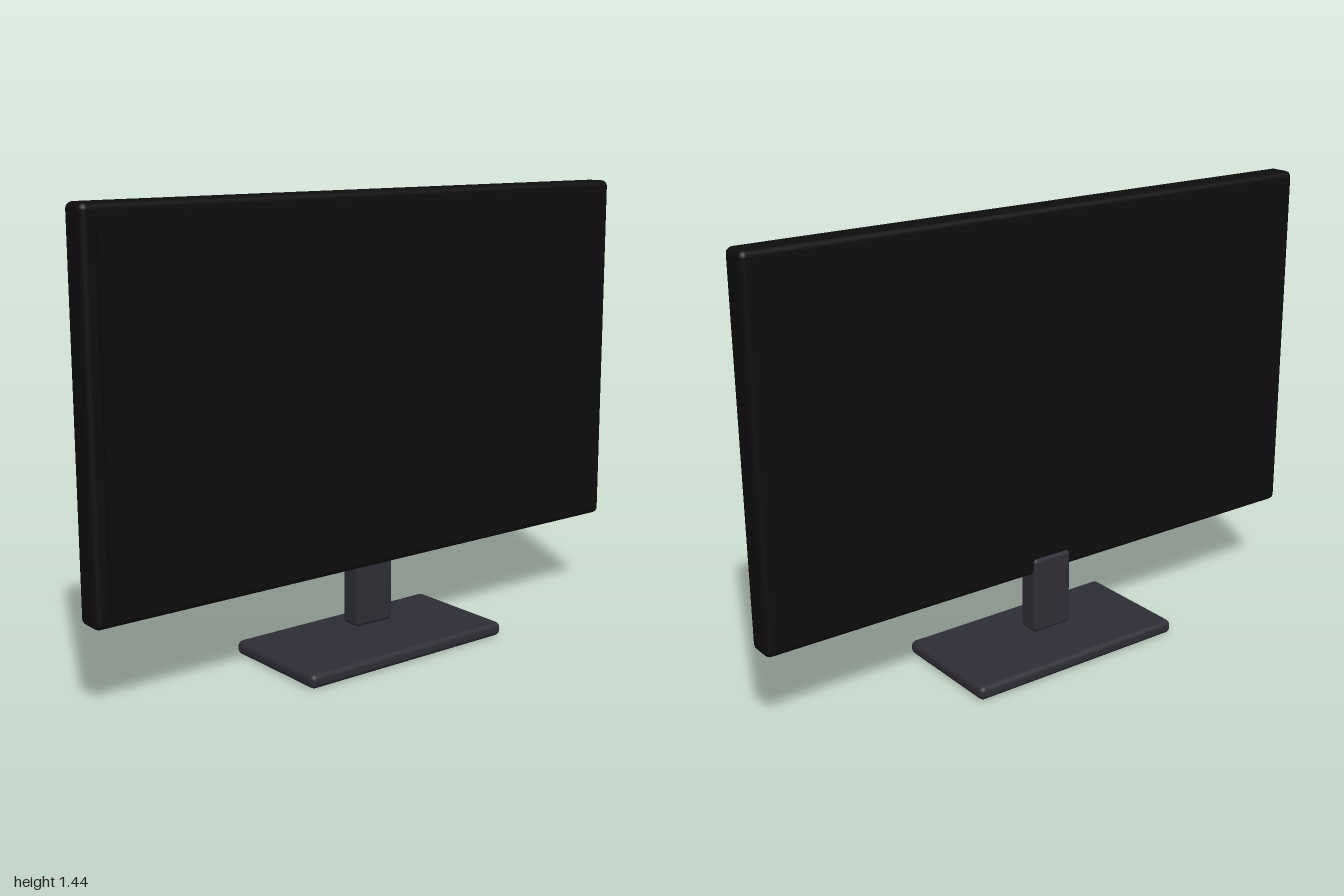
import * as THREE from 'three';
import { RoundedBoxGeometry } from 'three/addons/geometries/RoundedBoxGeometry.js';

function material(name, color) {
  const m = new THREE.MeshStandardMaterial({ color });
  m.name = name;
  return m;
}

export function createModel() {
  const group = new THREE.Group();
  group.name = 'monitor';

  const casing = material('casing black', 0x0d0d0d);
  const glass = material('screen black', 0x0c0c0c);
  const metal = material('stand dark grey', 0x2d2d35);

  // Adds a box between two corners, with softened edges when a radius is given
  function addBox(name, [x0, y0, z0], [x1, y1, z1], radius, mat) {
    const size = [x1 - x0, y1 - y0, z1 - z0];
    const geometry = radius
      ? new RoundedBoxGeometry(...size, 4, radius)
      : new THREE.BoxGeometry(...size);
    const mesh = new THREE.Mesh(geometry, mat);
    mesh.name = name;
    mesh.position.set((x0 + x1) / 2, (y0 + y1) / 2, (z0 + z1) / 2);
    group.add(mesh);
  }

  // Display: casing with a raised flat screen on the front
  addBox('housing', [-1, 0.275, -0.046], [1, 1.438, 0.046], 0.02, casing);
  addBox('screen', [-0.955, 0.322, 0.04], [0.955, 1.391, 0.056], 0, glass);

  // Stand: neck reaching behind the casing, floating just above the base plate
  addBox('neck', [-0.072, 0.075, -0.054], [0.072, 0.33, 0.02], 0.014, metal);
  addBox('base', [-0.382, 0, -0.2], [0.382, 0.045, 0.2], 0.018, metal);

  return group;
}
